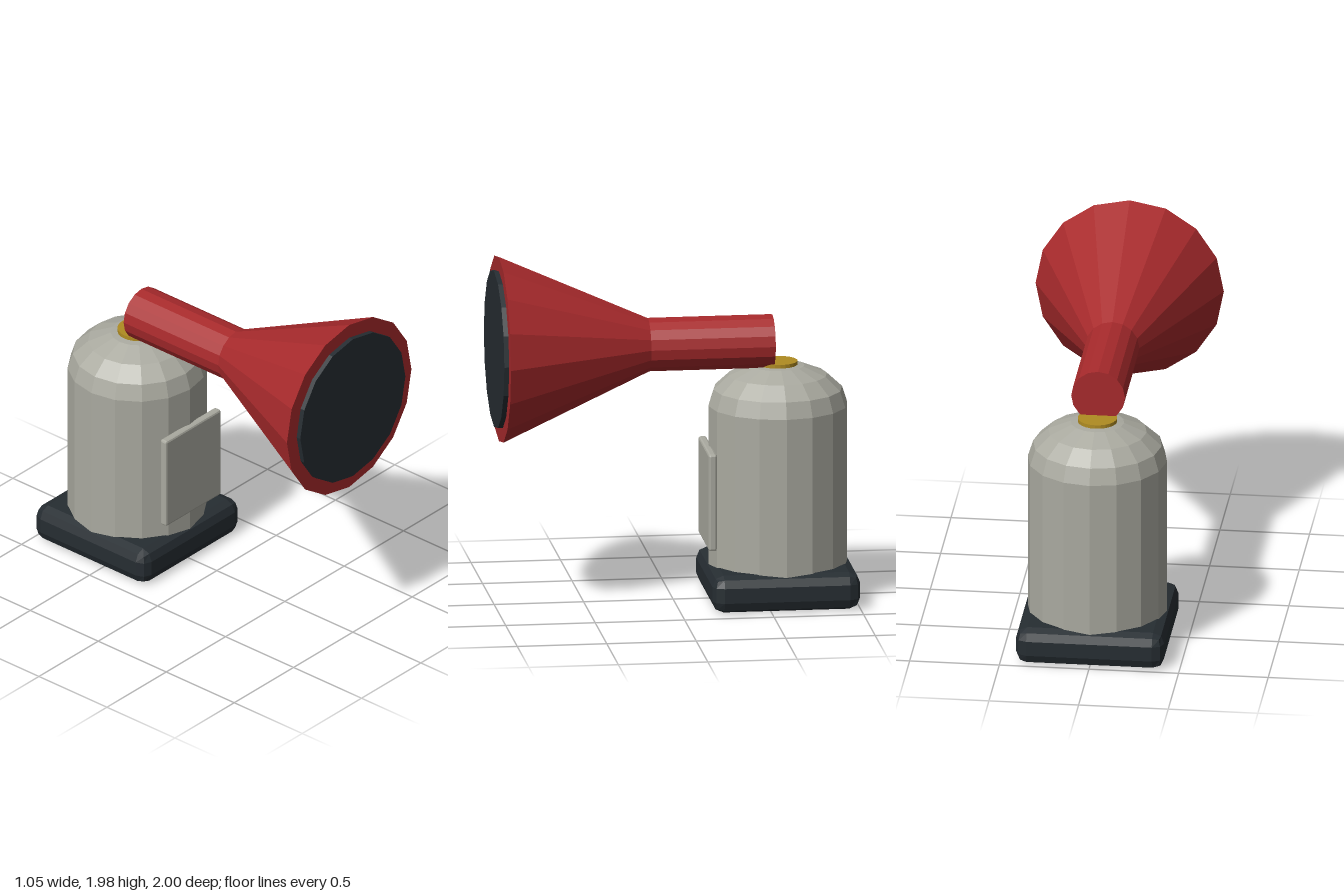
import * as THREE from 'three';
import { RoundedBoxGeometry } from 'three/addons/geometries/RoundedBoxGeometry.js';

const SIDES = 16;
const AXIS_Z = -0.585; // vertical axis of the body
const HORN_Y = 1.455; // height of the horn axis

const paint = (color) => new THREE.MeshStandardMaterial({ color, flatShading: true });

export function createModel() {
  const model = new THREE.Group();
  const dark = paint(0x262d32);
  const grey = paint(0xaaaaa0);
  const red = paint(0xa82a2c);
  const gold = paint(0xb08c22);

  const add = (name, geometry, material, x, y, z) => {
    const mesh = new THREE.Mesh(geometry, material);
    mesh.name = name;
    mesh.position.set(x, y, z);
    model.add(mesh);
    return mesh;
  };

  // Cylinder or cone lying along z, from back to front
  const addAlongZ = (name, rBack, rFront, zBack, zFront, material) => {
    const geometry = new THREE.CylinderGeometry(rFront, rBack, zFront - zBack, SIDES);
    geometry.rotateX(Math.PI / 2);
    return add(name, geometry, material, 0, HORN_Y, (zBack + zFront) / 2);
  };

  // Square foot with softened edges
  add('base', new RoundedBoxGeometry(0.826, 0.21, 0.826, 1, 0.063), dark, 0, 0.105, -0.587);

  // Upright body with a flattened dome on top
  const profile = [new THREE.Vector2(0, 0.15), new THREE.Vector2(0.388, 0.15)];
  for (let i = 0; i <= 4; i++) {
    const a = (i / 4) * (Math.PI / 2);
    profile.push(new THREE.Vector2(i === 4 ? 0 : 0.388 * Math.cos(a), 1.095 + 0.24 * Math.sin(a)));
  }
  add('body', new THREE.LatheGeometry(profile, SIDES), grey, 0, 0, AXIS_Z);

  // Front plate and the pivot disc under the horn
  add('frontPanel', new RoundedBoxGeometry(0.464, 0.55, 0.046, 1, 0.012), grey, 0, 0.595, -0.193);
  add('pivotDisc', new THREE.CylinderGeometry(0.11, 0.11, 0.03, 24), gold, 0, 1.327, AXIS_Z);

  // Horn: pipe, flared bell and the dark disc in its mouth
  addAlongZ('hornPipe', 0.15, 0.15, -0.555, 0.14, red);
  addAlongZ('hornBell', 0.15, 0.525, 0.14, 0.973, red);
  addAlongZ('hornMouth', 0.443, 0.443, 0.95, 1, dark);

  return model;
}
